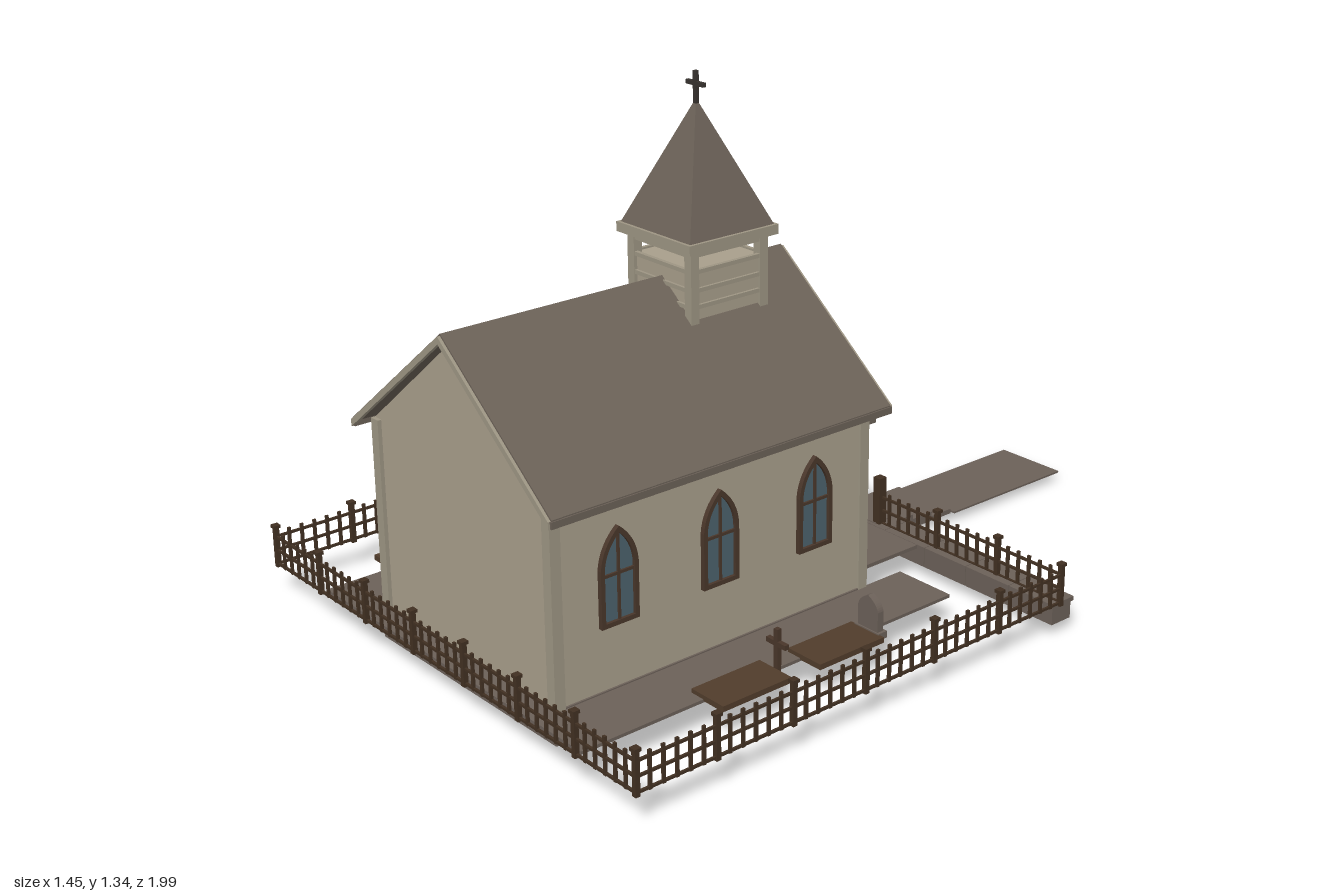
import * as THREE from 'three';
import { mergeGeometries } from 'three/addons/utils/BufferGeometryUtils.js';

const mat = (name, color, side = THREE.FrontSide) => {
  const m = new THREE.MeshStandardMaterial({ color, side });
  m.name = name;
  return m;
};

// Box geometry given by its min/max on each axis
const span = (x0, x1, y0, y1, z0, z1) =>
  new THREE.BoxGeometry(x1 - x0, y1 - y0, z1 - z0).translate((x0 + x1) / 2, (y0 + y1) / 2, (z0 + z1) / 2);

const polygon = (pts) => new THREE.Shape(pts.map(([x, y]) => new THREE.Vector2(x, y)));
const extrude = (shape, depth) =>
  new THREE.ExtrudeGeometry(shape, { depth, bevelEnabled: false, curveSegments: 8 });

// Pointed arch outline, as a shape or a hole
function arch(hw, h, spring, Type = THREE.Shape, y0 = 0) {
  const s = new Type();
  s.moveTo(-hw, y0);
  s.lineTo(hw, y0);
  s.lineTo(hw, spring);
  s.quadraticCurveTo(hw * 0.9, spring + (h - spring) * 0.6, 0, h);
  s.quadraticCurveTo(-hw * 0.9, spring + (h - spring) * 0.6, -hw, spring);
  s.closePath();
  return s;
}

export function createModel() {
  const M = {
    wall: mat('wall boards', 0xa89e8b),
    trim: mat('pale trim', 0x9d9583),
    roof: mat('roof shingles', 0x6b6157),
    stone: mat('stone', 0x6b6058),
    glass: mat('window glass', 0x4b626c),
    frame: mat('dark frame', 0x49362a),
    fence: mat('fence wood', 0x413022),
    earth: mat('grave earth', 0x503c2b),
    metal: mat('dark metal', 0x38332f),
  };
  const root = new THREE.Group();
  const add = (name, geo, material, parent = root) => {
    const mesh = new THREE.Mesh(Array.isArray(geo) ? mergeGeometries(geo) : geo, material);
    mesh.name = name;
    parent.add(mesh);
    return mesh;
  };

  // Foundation, walls with gables, corner boards
  add('foundation', span(-0.345, 0.345, 0, 0.085, -0.02, 0.915), M.stone);
  add('walls', extrude(polygon([[-0.34, 0.08], [0.34, 0.08], [0.34, 0.568], [0, 0.845], [-0.34, 0.568]]), 0.92)
    .translate(0, 0, -0.015), M.wall);
  const corners = [];
  for (const x of [-0.332, 0.332]) for (const z of [-0.006, 0.901])
    corners.push(span(x - 0.014, x + 0.014, 0.08, 0.565, z - 0.014, z + 0.014));
  add('cornerBoards', corners, M.trim);

  // Main roof and barge boards
  const band = (hw, yTop, yEave, t) =>
    polygon([[-hw, yEave], [0, yTop], [hw, yEave], [hw, yEave - t], [0, yTop - t], [-hw, yEave - t]]);
  add('mainRoof', extrude(band(0.388, 0.868, 0.56, 0.016), 0.985).translate(0, 0, -0.0475), M.roof);
  for (const z of [-0.056, 0.934])
    add('bargeBoard', extrude(band(0.385, 0.863, 0.557, 0.018), 0.011).translate(0, 0, z), M.trim);
  for (const s of [-1, 1])
    add('gutter', span(s * 0.384 - 0.007, s * 0.384 + 0.007, 0.54, 0.557, -0.05, 0.94), M.roof);

  // Arched window or door; outer face along +z before turning
  function archedOpening(name, x, y, z, turn, hw, h, spring, panel, bars) {
    const g = new THREE.Group();
    g.name = name;
    const ring = arch(hw, h, spring);
    ring.holes.push(arch(hw - 0.011, h - 0.016, spring, THREE.Path, 0.011));
    add('openingFrame', extrude(ring, 0.012), M.frame, g);
    add('openingPanel', extrude(arch(hw - 0.005, h - 0.008, spring, THREE.Shape, 0.005), 0.004), panel, g);
    add('openingBars', bars.map((b) => span(...b, 0.002, 0.009)), M.frame, g);
    g.position.set(x, y, z);
    g.rotation.y = turn;
    root.add(g);
  }
  const windowBars = [[-0.003, 0.003, 0.01, 0.215], [-0.042, 0.042, 0.119, 0.126]];
  const win = (x, z, turn) =>
    archedOpening('archedWindow', x, 0.24, z, turn, 0.052, 0.235, 0.14, M.glass, windowBars);
  for (const z of [0.155, 0.445, 0.735]) {
    win(0.34, z, Math.PI / 2);
    win(-0.34, z, -Math.PI / 2);
  }
  for (const x of [-0.215, 0.215]) win(x, -0.015, Math.PI);
  archedOpening('entranceDoor', 0, 0.09, -0.015, Math.PI, 0.07, 0.27, 0.17, M.earth,
    [[-0.003, 0.003, 0.01, 0.25], [-0.06, 0.06, 0.05, 0.058], [-0.06, 0.06, 0.16, 0.168]]);
  add('doorLamp', span(-0.1, -0.088, 0.28, 0.305, -0.03, -0.014), M.metal);

  // Porch
  add('porchRoof', extrude(band(0.157, 0.492, 0.412, 0.013), 0.18).translate(0, 0, -0.228), M.roof);
  add('porchGable', extrude(polygon([[-0.135, 0.4], [0.135, 0.4], [0, 0.475]]), 0.012).translate(0, 0, -0.212), M.trim);
  const porch = [span(-0.13, 0.13, 0.39, 0.405, -0.204, -0.19)];
  for (const x of [-0.123, 0.123]) {
    porch.push(span(x - 0.008, x + 0.008, 0.085, 0.4, -0.198, -0.182));
    porch.push(span(x - 0.007, x + 0.007, 0.39, 0.405, -0.19, -0.015));
  }
  add('porchPostsAndBeams', porch, M.trim);
  add('porchFloor', span(-0.16, 0.16, 0.08, 0.092, -0.2, -0.02), M.stone);

  // Bell tower
  const tower = new THREE.Group();
  tower.name = 'bellTower';
  tower.position.z = 0.215;
  root.add(tower);
  add('towerBase', span(-0.108, 0.108, 0.7, 0.9, -0.108, 0.108), M.wall, tower);
  const posts = [], boards = [];
  for (const x of [-0.105, 0.105]) for (const z of [-0.105, 0.105])
    posts.push(span(x - 0.012, x + 0.012, 0.72, 0.955, z - 0.012, z + 0.012));
  for (const y of [0.81, 0.85, 0.895, 0.935])
    for (const s of [-1, 1]) {
      boards.push(span(-0.1, 0.1, y, y + 0.01, s * 0.11 - 0.005, s * 0.11 + 0.005));
      boards.push(span(s * 0.11 - 0.005, s * 0.11 + 0.005, y, y + 0.01, -0.1, 0.1));
    }
  add('towerPosts', posts, M.trim, tower);
  add('towerSlats', boards, M.trim, tower);
  add('towerCornice', span(-0.135, 0.135, 0.95, 0.974, -0.135, 0.135), M.trim, tower);
  const spire = new THREE.ConeGeometry(0.128 * Math.SQRT2, 0.3, 4, 1).toNonIndexed();
  spire.rotateY(Math.PI / 4).translate(0, 1.122, 0).computeVertexNormals();
  add('spire', spire, M.roof, tower);
  add('spireCross', [span(-0.005, 0.005, 1.255, 1.337, -0.005, 0.005),
    span(-0.031, 0.031, 1.302, 1.312, -0.005, 0.005)], M.metal, tower);
  const bell = [[0, 0.025], [0.008, 0.024], [0.011, 0.012], [0.016, 0]].map(([x, y]) => new THREE.Vector2(x, y));
  add('bell', new THREE.LatheGeometry(bell.reverse(), 12).translate(0, 0.92, -0.06),
    mat('bell metal', 0x35261f, THREE.DoubleSide), tower);

  // Paths, retaining wall and steps
  for (const s of [-1, 1])
    add('sidePath', span(s < 0 ? -0.51 : 0.34, s < 0 ? -0.34 : 0.51, 0.074, 0.082, -0.14, 0.97), M.stone);
  add('rearPath', span(-0.34, 0.34, 0.074, 0.082, 0.91, 0.97), M.stone);
  add('entrancePath', span(-0.26, 0.26, 0.072, 0.082, -0.285, -0.02), M.stone);
  const blocks = [];
  for (let i = 0; i < 10; i++) {
    const x = -0.716 + i * 0.1432;
    blocks.push(span(x + 0.001, x + 0.1422, 0.03, 0.078, -0.345, -0.28));
    blocks.push(span(x + 0.001, x + 0.1422, 0.072, 0.083, -0.356, -0.28));
  }
  add('retainingWall', blocks, M.stone);
  const steps = [];
  [[-0.365, 0.085], [-0.43, 0.067], [-0.5, 0.054], [-0.572, 0.041]].forEach(([z, y]) =>
    steps.push(span(-0.098, 0.098, 0.028, y, z, -0.29)));
  add('entranceSteps', steps, M.stone);
  add('frontWalk', span(-0.103, 0.103, 0.026, 0.031, -1, -0.582), M.stone);

  // Picket fence with posts, three rails and pickets on each run
  function fenceRun(x0, z0, x1, z1, bays) {
    const len = Math.hypot(x1 - x0, z1 - z0), parts = [];
    for (let i = 0; i <= bays; i++) {
      const x = (i * len) / bays;
      parts.push(span(x - 0.006, x + 0.006, 0.075, 0.182, -0.006, 0.006));
      parts.push(span(x - 0.009, x + 0.009, 0.18, 0.188, -0.009, 0.009));
      if (i === bays) break;
      for (let k = 1; k < 6; k++) {
        const p = x + (k * len) / bays / 6;
        parts.push(span(p - 0.004, p + 0.004, 0.078, 0.17, -0.003, 0.003));
      }
    }
    for (const y of [0.083, 0.12, 0.156]) parts.push(span(0, len, y - 0.003, y + 0.003, -0.003, 0.003));
    const run = add('fenceRun', parts, M.fence);
    run.position.set(x0, 0, z0);
    run.rotation.y = -Math.atan2(z1 - z0, x1 - x0);
  }
  fenceRun(-0.716, 0.985, 0.716, 0.985, 7);
  for (const s of [-1, 1]) {
    fenceRun(s * 0.716, -0.305, s * 0.716, 0.985, 6);
    fenceRun(s * 0.716, -0.305, s * 0.1, -0.305, 3);
    add('gatePost', span(s * 0.098 - 0.012, s * 0.098 + 0.012, 0.08, 0.21, -0.317, -0.293), M.fence);
  }
  // Open gate leaf
  const gate = [0.1, 0.135, 0.17].map((y) => span(-0.1, -0.092, y, y + 0.012, -0.3, -0.19));
  for (let i = 0; i < 7; i++) {
    const z = -0.285 + i * 0.015;
    gate.push(span(-0.1, -0.094, 0.092, 0.187, z - 0.005, z + 0.005));
  }
  add('openGate', gate, M.fence);

  // Graves with headstones or crosses
  const graves = [[-0.53, 0.135, 0], [-0.53, 0.365, 1], [-0.53, 0.59, 0], [0.523, 0.148, 0], [0.523, 0.435, 1]];
  for (const [x, z, cross] of graves) {
    add('graveMound', span(x - 0.054, x + 0.054, 0.078, 0.092, z, z + 0.2), M.earth);
    if (cross) {
      add('graveCross', [span(x - 0.006, x + 0.006, 0.08, 0.19, z - 0.012, z),
        span(x - 0.032, x + 0.032, 0.148, 0.16, z - 0.012, z)], M.frame);
    } else {
      add('headstone', extrude(arch(0.033, 0.1, 0.065), 0.018).translate(x, 0.08, z - 0.018), M.stone);
      add('headstoneFoot', span(x - 0.04, x + 0.04, 0.078, 0.095, z - 0.024, z + 0.004), M.stone);
    }
  }
  return root;
}
